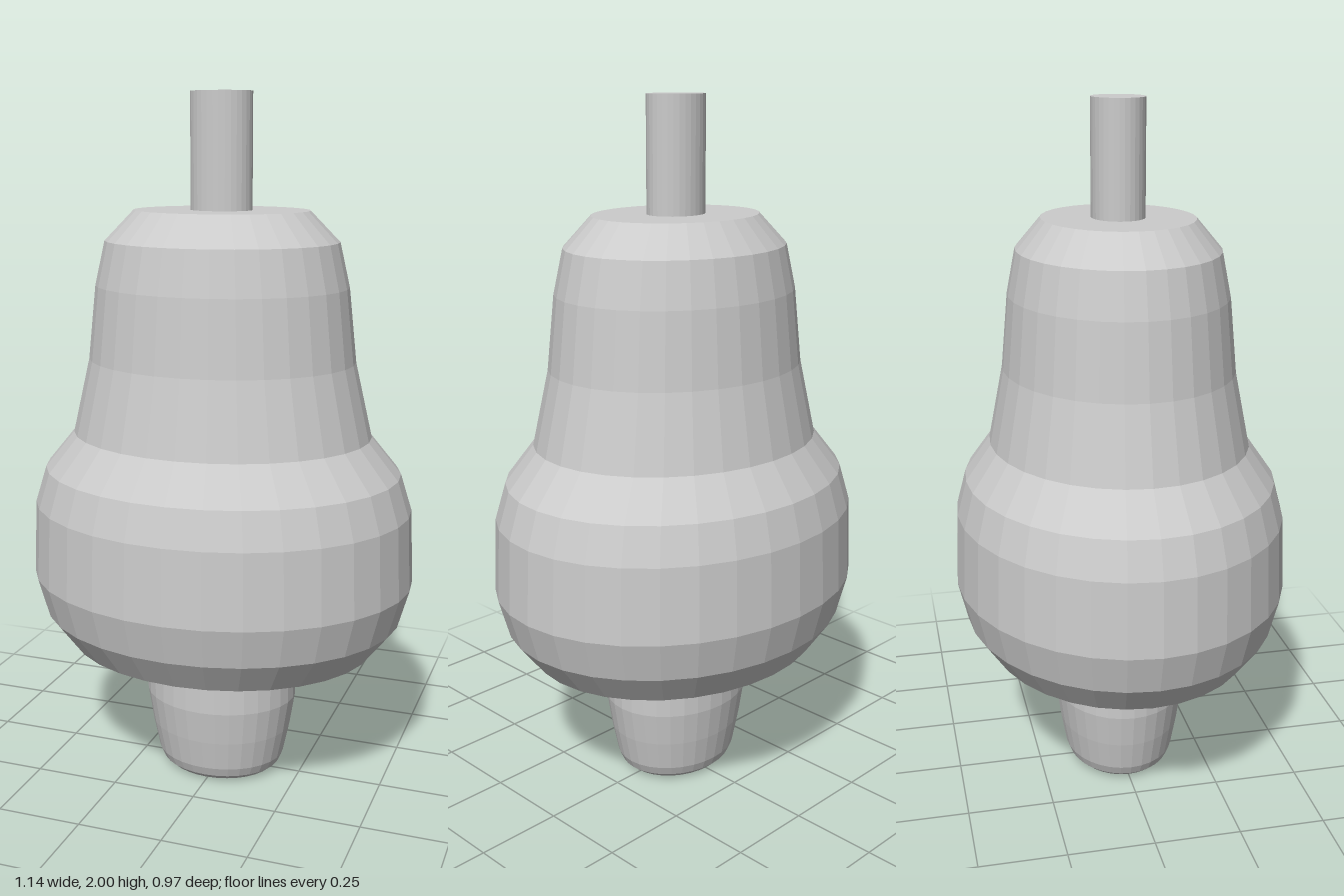
import * as THREE from 'three';

const SIDES = 32;
const DEPTH = 0.85; // every cross-section is an ellipse, narrower in z

export function createModel() {
  const model = new THREE.Group();
  const material = new THREE.MeshStandardMaterial({ color: 0xcccccc, flatShading: true });

  // Revolves a [radius, height] profile, listed from bottom to top
  function turned(name, profile) {
    const points = profile.map(([r, y]) => new THREE.Vector2(r, y));
    const geometry = new THREE.LatheGeometry(points, SIDES);
    geometry.scale(1, 1, DEPTH);
    const mesh = new THREE.Mesh(geometry, material);
    mesh.name = name;
    model.add(mesh);
  }

  // Tapered foot with a rounded lower edge
  turned('foot', [
    [0, 0], [0.14, 0], [0.162, 0.007], [0.18, 0.022], [0.193, 0.05],
    [0.212, 0.14], [0.228, 0.24], [0.228, 0.38],
  ]);

  // Bulbous body with a narrower shoulder and a flat top
  turned('body', [
    [0, 0.36], [0.228, 0.36], [0.46, 0.41], [0.535, 0.505], [0.568, 0.62],
    [0.558, 0.835], [0.525, 0.94], [0.438, 1.045], [0.388, 1.26],
    [0.365, 1.47], [0.336, 1.595], [0.252, 1.68], [0, 1.68],
  ]);

  // Straight stem
  turned('stem', [[0, 1.66], [0.088, 1.66], [0.088, 2], [0, 2]]);

  return model;
}
